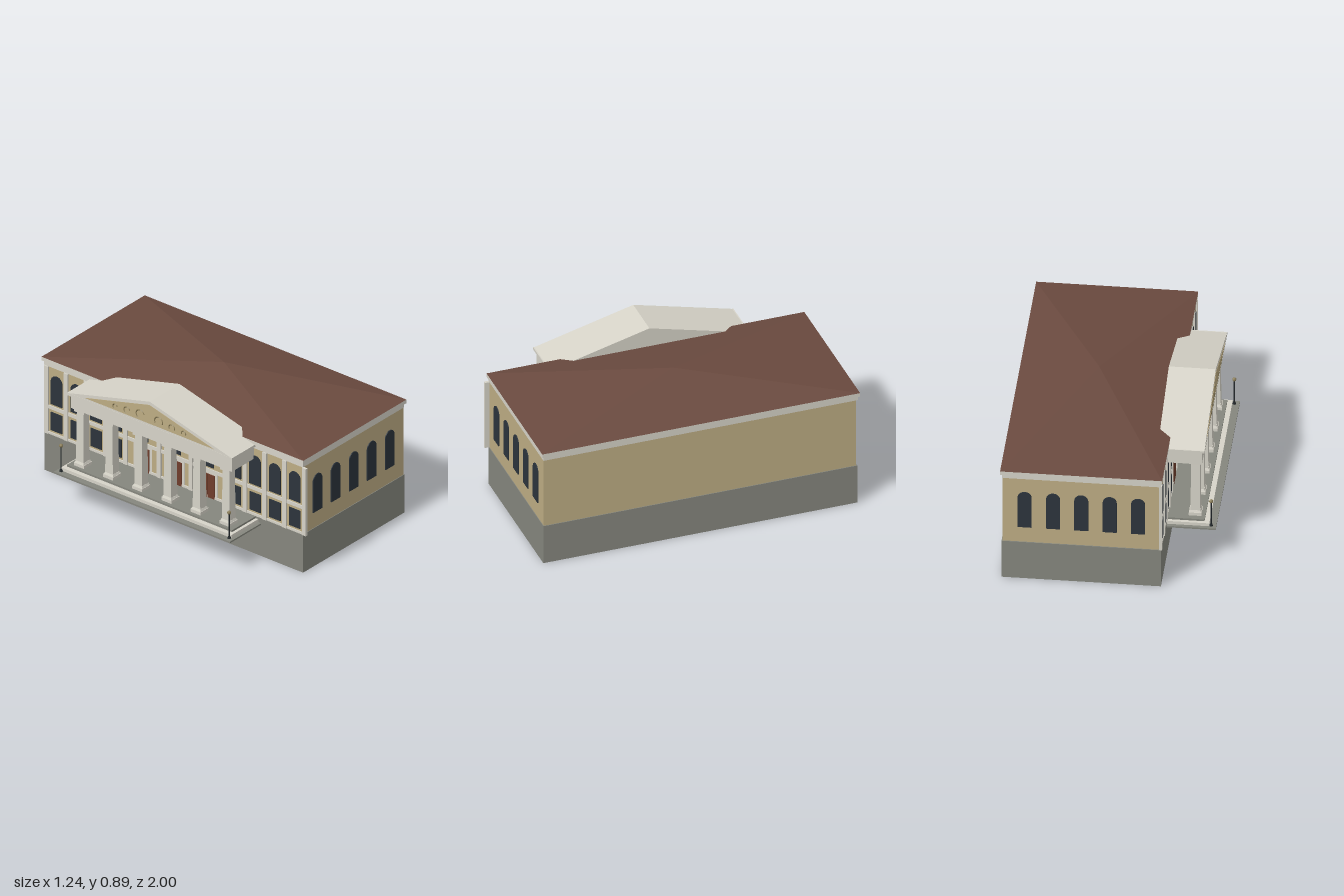
import * as THREE from 'three';

const mat = (name, color) => Object.assign(new THREE.MeshStandardMaterial({ color, flatShading: true }), { name });

export function createModel() {
  const stone = mat('grey stone', 0x85867d);
  const plaster = mat('tan plaster', 0xbdac83);
  const trim = mat('pale trim', 0xd6d3c8);
  const tiles = mat('brown roof', 0x6a4a3f);
  const glass = mat('dark glass', 0x2c343c);
  const wood = mat('door wood', 0x6f3d2c);
  const iron = mat('black iron', 0x22282b);
  const brass = mat('lamp brass', 0x8a7d58);

  const model = new THREE.Group();
  model.name = 'columnedHall';

  const add = (parent, name, geometry, material) => {
    const mesh = new THREE.Mesh(geometry, material);
    mesh.name = name;
    parent.add(mesh);
    return mesh;
  };
  // Box given by its lower and upper corners
  const box = (parent, name, material, [x0, y0, z0], [x1, y1, z1]) => {
    const mesh = add(parent, name, new THREE.BoxGeometry(x1 - x0, y1 - y0, z1 - z0), material);
    mesh.position.set((x0 + x1) / 2, (y0 + y1) / 2, (z0 + z1) / 2);
    return mesh;
  };
  // Thin round-headed plate facing +z
  const archPlate = (parent, name, material, x, y0, y1, width, z, depth = 0.006) => {
    const r = width / 2;
    const shape = new THREE.Shape();
    shape.moveTo(-r, y0);
    shape.lineTo(r, y0);
    shape.lineTo(r, y1 - r);
    shape.absarc(0, y1 - r, r, 0, Math.PI, false);
    shape.closePath();
    const geo = new THREE.ExtrudeGeometry(shape, { depth, bevelEnabled: false, curveSegments: 10 });
    const mesh = add(parent, name, geo, material);
    mesh.position.set(x, 0, z);
    return mesh;
  };
  const gable = (half, y0, y1, depth) => {
    const shape = new THREE.Shape([
      new THREE.Vector2(-half, y0), new THREE.Vector2(half, y0), new THREE.Vector2(0, y1)]);
    return new THREE.ExtrudeGeometry(shape, { depth, bevelEnabled: false });
  };
  // Four-sided frustum with flat sides along the axes
  const frustum = (w0, w1, h) =>
    new THREE.CylinderGeometry(w1 / Math.SQRT2, w0 / Math.SQRT2, h, 4).rotateY(Math.PI / 4);

  // Main block
  box(model, 'basement', stone, [-0.33, 0, -0.986], [0.61, 0.255, 0.974]);
  box(model, 'walls', plaster, [-0.326, 0.255, -0.98], [0.605, 0.705, 0.97]);
  box(model, 'lowerCornice', trim, [-0.33, 0.705, -0.99], [0.607, 0.732, 0.972]);
  box(model, 'upperCornice', trim, [-0.338, 0.732, -1.0], [0.616, 0.757, 0.982]);

  // Hipped roof rising to one point
  const roof = add(model, 'hippedRoof', frustum(1, 0, 1), tiles);
  roof.scale.set(0.956, 0.108, 1.984);
  roof.position.set(0.139, 0.757 + 0.054, -0.009);

  // Arched windows on both end walls
  for (const x of [-0.195, -0.028, 0.14, 0.306, 0.474]) {
    archPlate(model, 'frontWindow', glass, x, 0.36, 0.608, 0.083, 0.97);
    archPlate(model, 'backWindow', glass, x, 0.36, 0.608, 0.083, -0.98).rotation.y = Math.PI;
  }

  // Entrance side: built facing +z, then turned to face -x
  const entrance = new THREE.Group();
  entrance.name = 'entranceSide';
  entrance.rotation.y = -Math.PI / 2;
  model.add(entrance);
  const wall = 0.326;
  const mid = -0.01;

  // Pilasters with windows between them, wider door bays in the middle
  const pilasters = [];
  for (let i = 0; i <= 4; i++) pilasters.push(-0.97 + i * 0.15);
  pilasters.push(-0.115, 0.125);
  for (let i = 0; i <= 4; i++) pilasters.push(0.385 + i * 0.15);
  pilasters.forEach((x, i) => {
    box(entrance, 'pilaster', trim, [x - 0.015, 0.255, wall - 0.006], [x + 0.015, 0.705, wall + 0.011]);
    if (i === pilasters.length - 1) return;
    const c = (x + pilasters[i + 1]) / 2;
    const isDoor = i >= 4 && i <= 6;
    archPlate(entrance, 'upperWindow', glass, c, 0.46, 0.655, 0.085, wall);
    if (isDoor) {
      box(entrance, 'doorFrame', trim, [c - 0.07, 0.255, wall], [c + 0.07, 0.425, wall + 0.004]);
      for (const s of [-1, 1])
        box(entrance, 'doorLeaf', wood, [c + s * 0.027 - 0.025, 0.255, wall], [c + s * 0.027 + 0.025, 0.412, wall + 0.008]);
    } else {
      box(entrance, 'lowerWindow', glass, [c - 0.042, 0.285, wall], [c + 0.042, 0.405, wall + 0.006]);
    }
  });
  box(entrance, 'floorBand', trim, [-0.97, 0.425, wall], [0.985, 0.447, wall + 0.007]);
  box(entrance, 'wallFoot', trim, [-0.97, 0.255, wall], [0.985, 0.27, wall + 0.007]);

  // Stepped porch
  const steps = [
    ['lowerStep', stone, 0.667, 0.62, 0.21, 0.22],
    ['middleStep', trim, 0.645, 0.58, 0.22, 0.24],
    ['porchFloor', stone, 0.625, 0.55, 0.24, 0.252]];
  for (const [name, material, half, out, y0, y1] of steps)
    box(entrance, name, material, [mid - half, y0, 0.325], [mid + half, y1, out]);

  // Six square tapered columns
  for (let i = 0; i < 6; i++) {
    const column = new THREE.Group();
    column.name = 'column';
    column.position.set(mid + (i - 2.5) * 0.221, 0, 0.491);
    entrance.add(column);
    const parts = [
      ['plinth', 0.076, 0.076, 0.252, 0.272],
      ['columnBase', 0.07, 0.06, 0.272, 0.285],
      ['shaft', 0.058, 0.051, 0.285, 0.615],
      ['capital', 0.074, 0.074, 0.615, 0.632]];
    for (const [name, w0, w1, y0, y1] of parts)
      add(column, name, frustum(w0, w1, y1 - y0), trim).position.y = (y0 + y1) / 2;
  }

  // Entablature and pediment
  box(entrance, 'entablature', trim, [mid - 0.61, 0.632, 0.32], [mid + 0.61, 0.72, 0.533]);
  box(entrance, 'porticoCornice', trim, [mid - 0.625, 0.72, 0.32], [mid + 0.625, 0.735, 0.55]);
  add(entrance, 'pediment', gable(0.618, 0.735, 0.895, 0.277), trim).position.set(mid, 0, 0.272);
  add(entrance, 'tympanum', gable(0.49, 0.748, 0.873, 0.002), plaster).position.set(mid, 0, 0.549);

  // Scroll relief in the pediment
  for (const s of [-1, 1]) {
    for (const [x, r] of [[0.07, 0.03], [0.17, 0.022], [0.26, 0.016]]) {
      const scroll = add(entrance, 'scroll', new THREE.TorusGeometry(r, 0.004, 4, 12, Math.PI * 1.3), brass);
      scroll.position.set(mid + s * x, 0.757 + r, 0.551);
      scroll.rotation.z = s > 0 ? -0.4 : 0.2;
    }
  }

  // Lamp posts at the porch corners
  for (const s of [-1, 1]) {
    const lamp = new THREE.Group();
    lamp.name = 'lampPost';
    lamp.position.set(mid + s * 0.637, 0, 0.59);
    entrance.add(lamp);
    add(lamp, 'lampFoot', new THREE.CylinderGeometry(0.008, 0.011, 0.012, 8), iron).position.y = 0.226;
    add(lamp, 'post', new THREE.CylinderGeometry(0.004, 0.004, 0.17, 8), iron).position.y = 0.305;
    add(lamp, 'globe', new THREE.SphereGeometry(0.012, 10, 8), brass).position.y = 0.393;
  }

  return model;
}
